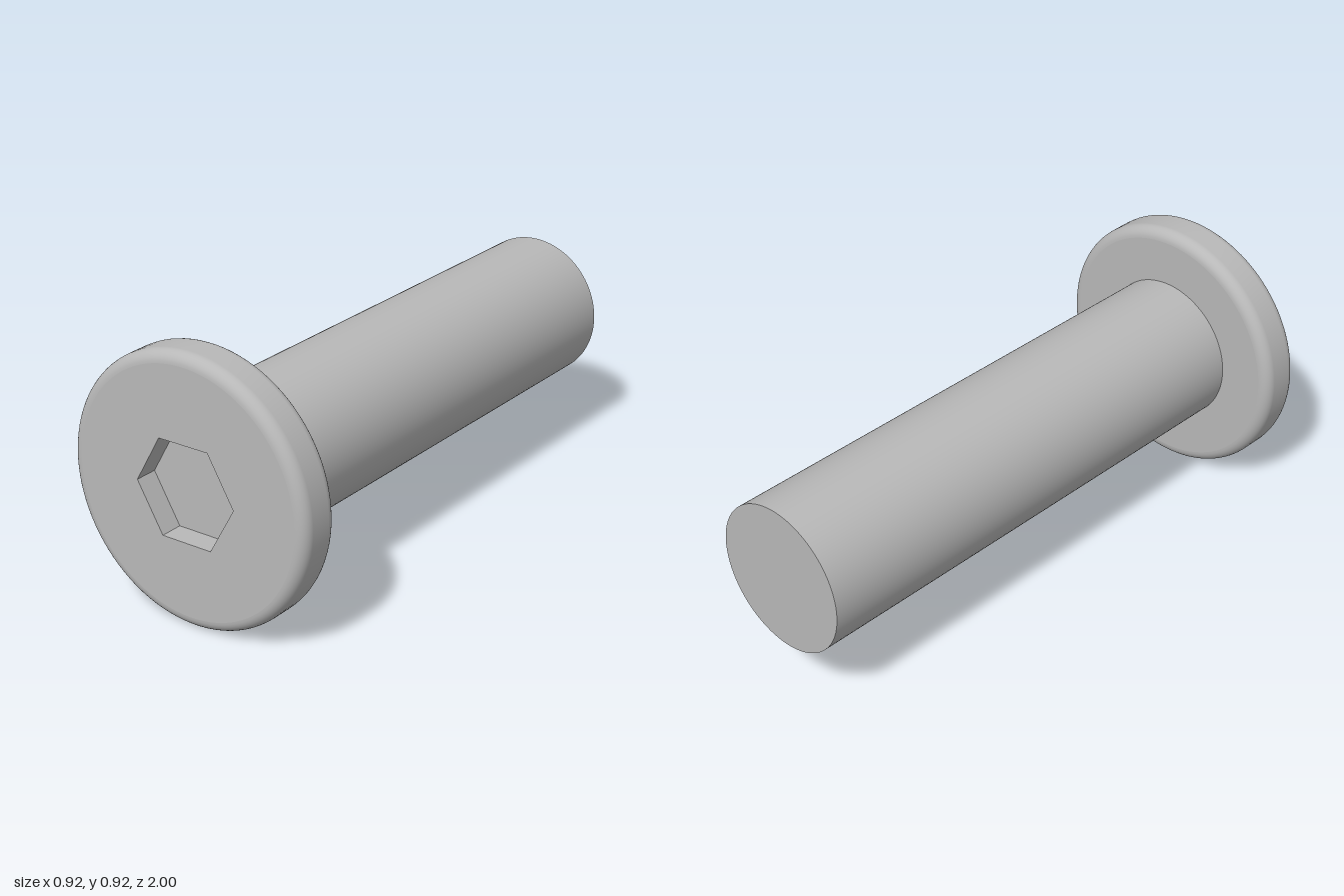
import * as THREE from 'three';

const HEAD_R = 0.46, SHAFT_R = 0.26, FILLET = 0.04;
const FRONT = 1, HEAD_BACK = 0.845, BACK = -1;
const HEX_R = 0.19, HEX_DEPTH = 0.08;
const SEGMENTS = 96;

export function createModel() {
  const model = new THREE.Group();
  model.name = 'socketBolt';
  const steel = new THREE.MeshStandardMaterial({ color: 0xb8b8b8 });
  steel.name = 'grey steel';

  const add = (name, geometry, parent = model) => {
    const mesh = new THREE.Mesh(geometry, steel);
    mesh.name = name;
    parent.add(mesh);
    return mesh;
  };

  // Head: rounded rim, profile runs from back to front
  const head = new THREE.Group();
  head.name = 'head';
  model.add(head);
  const flatR = HEAD_R - FILLET;
  const profile = [];
  for (const [centre, start] of [[HEAD_BACK + FILLET, -Math.PI / 2], [FRONT - FILLET, 0]]) {
    for (let i = 0; i <= 8; i++) {
      const a = start + (i / 8) * Math.PI / 2;
      profile.push(new THREE.Vector2(flatR + FILLET * Math.cos(a), centre + FILLET * Math.sin(a)));
    }
  }
  add('headRim', new THREE.LatheGeometry(profile, SEGMENTS).rotateX(Math.PI / 2), head);

  // Front face with a hexagonal opening
  const face = new THREE.Shape().absarc(0, 0, flatR, 0, Math.PI * 2, false);
  const corners = Array.from({ length: 6 }, (_, i) => {
    const a = -i * Math.PI / 3;
    return new THREE.Vector2(HEX_R * Math.cos(a), HEX_R * Math.sin(a));
  });
  face.holes.push(new THREE.Path(corners));
  add('headFrontFace', new THREE.ShapeGeometry(face, SEGMENTS / 2).translate(0, 0, FRONT), head);

  // Back face around the shaft
  add('headBackFace', new THREE.RingGeometry(SHAFT_R - 0.01, flatR, SEGMENTS)
    .rotateY(Math.PI).translate(0, 0, HEAD_BACK), head);

  // Hex socket: six inward-facing walls and a floor
  const socket = new THREE.Group();
  socket.name = 'hexSocket';
  head.add(socket);
  const apothem = HEX_R * Math.cos(Math.PI / 6);
  for (let i = 0; i < 6; i++) {
    add('socketWall', new THREE.PlaneGeometry(HEX_R, HEX_DEPTH)
      .rotateX(Math.PI / 2)
      .translate(0, apothem, FRONT - HEX_DEPTH / 2)
      .rotateZ(i * Math.PI / 3), socket);
  }
  add('socketFloor', new THREE.CircleGeometry(HEX_R, 6).translate(0, 0, FRONT - HEX_DEPTH), socket);

  // Plain cylindrical shaft
  add('shaft', new THREE.CylinderGeometry(SHAFT_R, SHAFT_R, HEAD_BACK - BACK, SEGMENTS)
    .rotateX(Math.PI / 2).translate(0, 0, (HEAD_BACK + BACK) / 2));

  // Rest the head on the ground
  model.children.forEach((part) => { part.position.y = HEAD_R; });
  return model;
}
